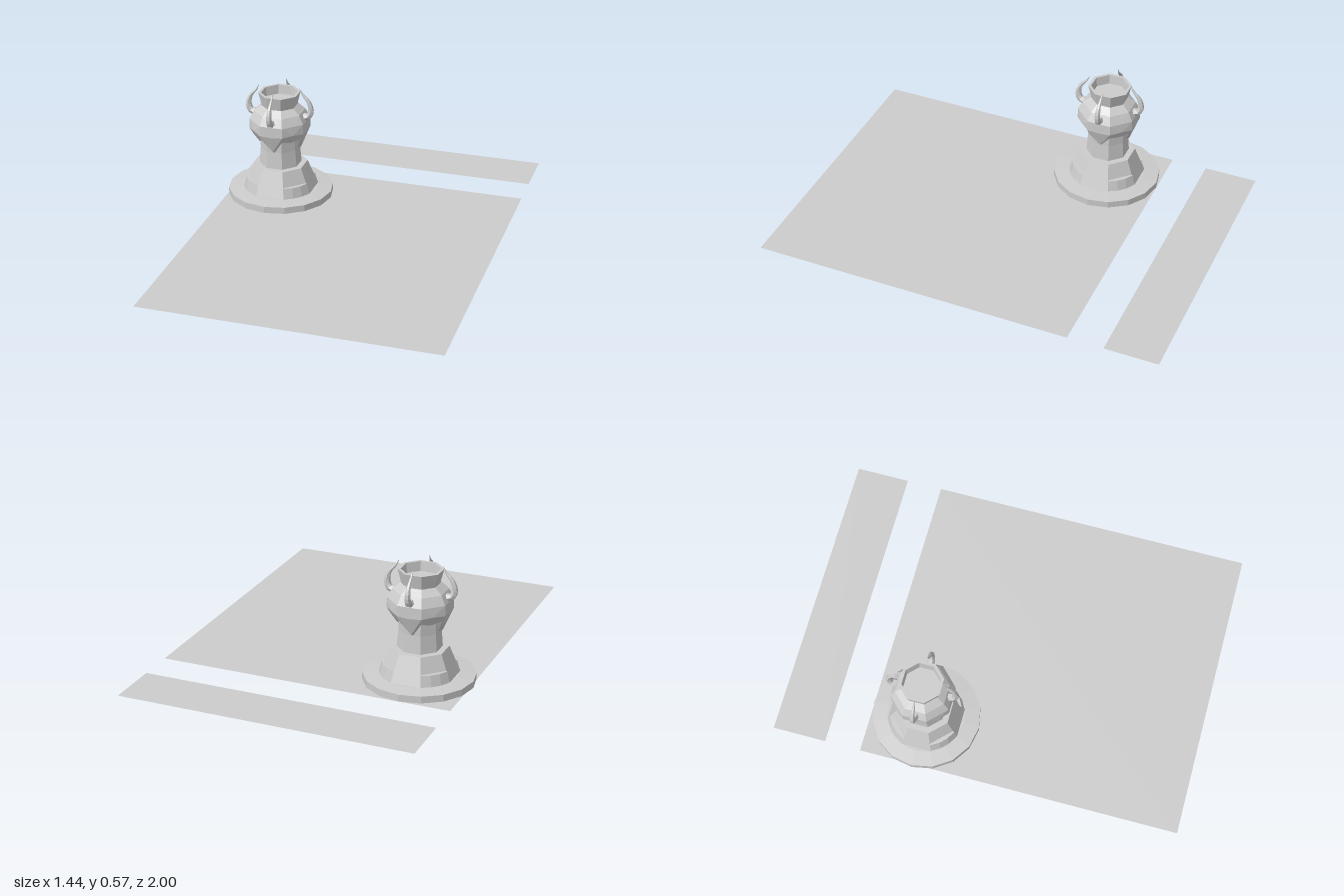
import * as THREE from 'three';

const grey = new THREE.MeshStandardMaterial({ color: 0xcccccc, flatShading: true, side: THREE.DoubleSide });

function add(parent, name, geometry) {
  const mesh = new THREE.Mesh(geometry, grey);
  mesh.name = name;
  parent.add(mesh);
  return mesh;
}

// Faceted turned part whose flat sides face the axes
function turned(profile, sides, start = 0, sweep = Math.PI * 2) {
  return new THREE.LatheGeometry(profile.map(([r, y]) => new THREE.Vector2(r, y)), sides, start, sweep);
}

// Skin of 16-point rings; each ring holds [radius, height] at axes, corners and diagonals
function ringSkin(rings) {
  const n = 16, pos = [], index = [];
  for (const { axis, corner, diagonal } of rings) {
    for (let k = 0; k < n; k++) {
      const [r, y] = k % 2 ? corner : k % 4 ? diagonal : axis;
      const a = (k / n) * Math.PI * 2;
      pos.push(r * Math.sin(a), y, r * Math.cos(a));
    }
  }
  for (let j = 0; j < rings.length - 1; j++) {
    for (let k = 0; k < n; k++) {
      const a = j * n + k, b = j * n + (k + 1) % n, c = a + n, d = b + n;
      // mirror the split so every side is symmetric
      if (k % 2) index.push(a, b, c, b, d, c);
      else index.push(a, b, d, a, d, c);
    }
  }
  const g = new THREE.BufferGeometry();
  g.setAttribute('position', new THREE.Float32BufferAttribute(pos, 3));
  g.setIndex(index);
  g.computeVertexNormals();
  return g;
}

// Curved horn: a tube narrowed towards its tip
function hornGeometry() {
  const path = [[0.12, 0.42], [0.15, 0.428], [0.162, 0.46], [0.15, 0.505], [0.12, 0.54], [0.105, 0.57]];
  const curve = new THREE.CatmullRomCurve3(path.map(([r, y]) => new THREE.Vector3(0, y, r)));
  const segments = 12, sides = 6;
  const g = new THREE.TubeGeometry(curve, segments, 0.02, sides);
  const p = g.attributes.position, v = new THREE.Vector3();
  for (let i = 0; i <= segments; i++) {
    const centre = curve.getPointAt(i / segments);
    const scale = 0.02 + 0.98 * Math.pow(1 - i / segments, 0.8);
    for (let j = 0; j <= sides; j++) {
      const k = i * (sides + 1) + j;
      v.fromBufferAttribute(p, k).sub(centre).multiplyScalar(scale).add(centre);
      p.setXYZ(k, v.x, v.y, v.z);
    }
  }
  g.computeVertexNormals();
  return g;
}

function createTower() {
  const tower = new THREE.Group();
  tower.name = 'tower';
  const eighth = Math.PI / 8;

  // Round foot and sloping plinth
  add(tower, 'foot', turned([[0, 0], [0.262, 0], [0.262, 0.033], [0.19, 0.04], [0, 0.04]], 16));
  add(tower, 'plinth', turned([[0.188, 0.038], [0.135, 0.165], [0, 0.165]], 8, eighth));

  // Neck
  add(tower, 'neck', turned([[0.105, 0.164], [0.098, 0.25], [0.098, 0.34]], 8, eighth));

  // Head with a pointed shield on each side and recessed diagonals
  add(tower, 'head', ringSkin([
    { axis: [0.088, 0.25], corner: [0.096, 0.31], diagonal: [0.09, 0.30] },
    { axis: [0.11, 0.262], corner: [0.135, 0.325], diagonal: [0.115, 0.31] },
    { axis: [0.14, 0.35], corner: [0.152, 0.355], diagonal: [0.145, 0.36] },
    { axis: [0.14, 0.405], corner: [0.151, 0.405], diagonal: [0.14, 0.405] },
    { axis: [0.117, 0.447], corner: [0.127, 0.447], diagonal: [0.117, 0.447] },
    { axis: [0.083, 0.475], corner: [0.09, 0.475], diagonal: [0.083, 0.475] },
  ]));

  // Hollow crown
  add(tower, 'crown', turned(
    [[0.088, 0.474], [0.105, 0.541], [0.091, 0.541], [0.086, 0.495], [0, 0.495]], 8, eighth));

  // Horns on the four sides, foot blocks on the diagonals
  const horn = hornGeometry();
  const block = turned([[0.15, 0.038], [0.186, 0.038], [0.173, 0.092], [0.15, 0.092]], 3, eighth, Math.PI / 4);
  for (let i = 0; i < 4; i++) {
    add(tower, 'horn', horn).rotation.y = i * Math.PI / 2;
    add(tower, 'footBlock', block).rotation.y = i * Math.PI / 2;
  }
  return tower;
}

export function createModel() {
  const model = new THREE.Group();
  model.name = 'model';

  // Flat ground sheets, given by their z range
  for (const [name, z0, z1] of [['groundSheet', -0.565, 1], ['backStrip', -1, -0.74]]) {
    const sheet = new THREE.PlaneGeometry(1.425, z1 - z0).rotateX(-Math.PI / 2);
    add(model, name, sheet).position.set(0.008, 0, (z0 + z1) / 2);
  }

  const tower = createTower();
  tower.position.set(-0.458, 0, -0.302);
  model.add(tower);
  return model;
}
